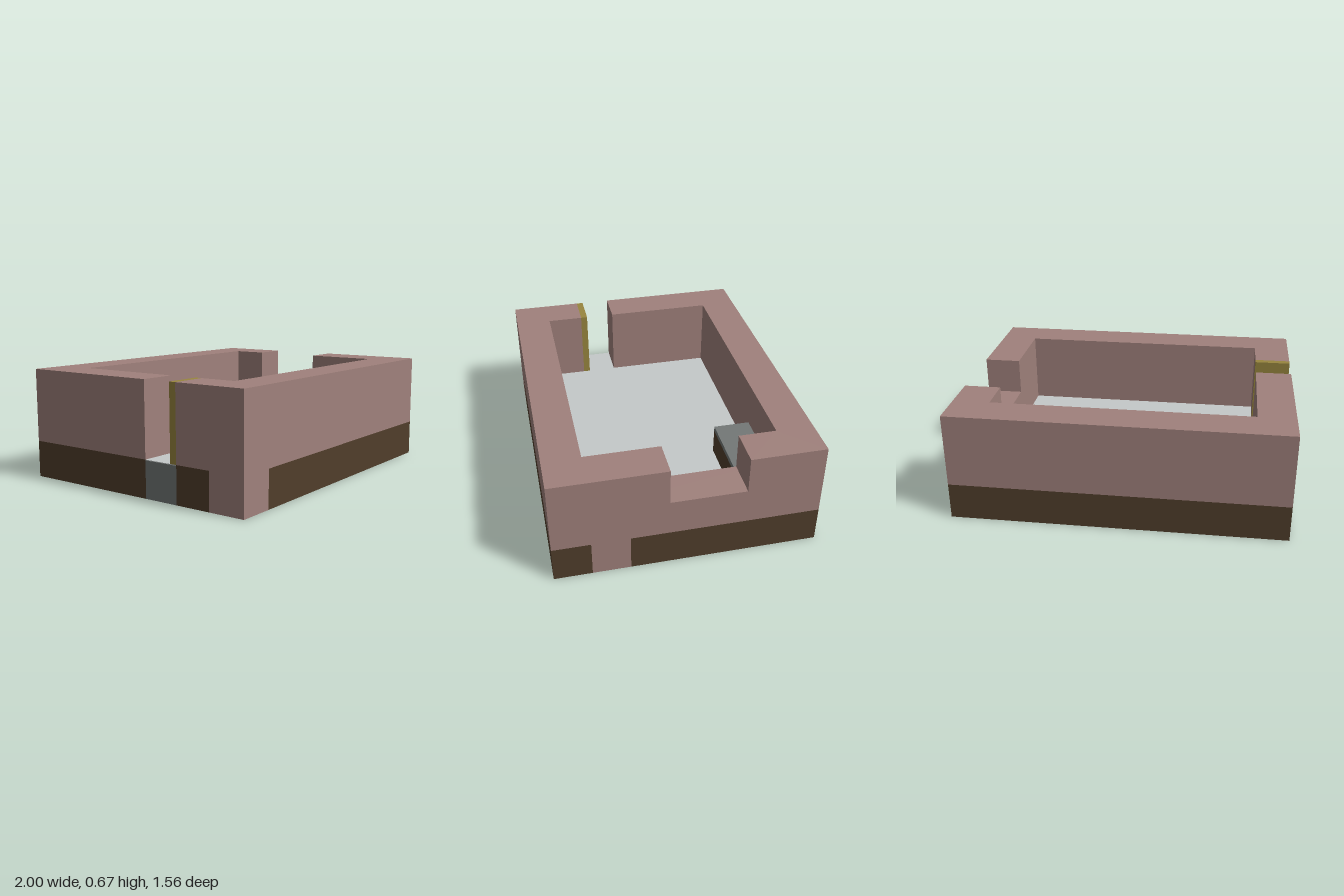
import * as THREE from 'three';

const U = 2 / 9; // one block: the building is 9 x 7 blocks in plan and 3 high

const mat = (name, color) => {
  const m = new THREE.MeshStandardMaterial({ color });
  m.name = name;
  return m;
};

export function createModel() {
  const brick = mat('dusty pink', 0xa0817c);
  const earth = mat('dark brown', 0x503e2b);
  const paleStone = mat('pale grey', 0xc5c9c9);
  const greyStone = mat('mid grey', 0x737877);
  const doorWood = mat('ochre', 0x98863f);

  const model = new THREE.Group();
  model.name = 'roofless house';

  // Raise a plan outline, in blocks from the back right corner, between two heights
  const raise = (name, material, outline, y0, y1) => {
    const shape = new THREE.Shape(
      outline.map(([u, v]) => new THREE.Vector2((u - 4.5) * U, (3.5 - v) * U))
    );
    const geo = new THREE.ExtrudeGeometry(shape, { depth: (y1 - y0) * U, bevelEnabled: false });
    geo.rotateX(-Math.PI / 2);
    geo.translate(0, y0 * U, 0);
    const mesh = new THREE.Mesh(geo, material);
    mesh.name = name;
    model.add(mesh);
  };
  const rect = (u0, v0, u1, v1) => [[u0, v0], [u1, v0], [u1, v1], [u0, v1]];

  // Bottom course: brown footing with two exposed wall blocks
  raise('backFooting', earth,
    [[0, 0], [9, 0], [9, 5], [8, 5], [8, 1], [1, 1], [1, 4], [0, 4]], 0, 1);
  raise('frontFooting', earth, rect(1, 6, 9, 7), 0, 1);
  raise('doorFooting', earth, rect(0, 5, 1, 6), 0, 1);
  raise('cornerBlock', brick, rect(0, 6, 1, 7), 0, 1);
  raise('sideBlock', brick, rect(8, 5, 9, 6), 0, 1);

  // Floor, running out through the doorway, with a pale top surface
  const floor = [[1, 1], [8, 1], [8, 6], [1, 6], [1, 5], [0, 5], [0, 4], [1, 4]];
  raise('floorSlab', greyStone, floor, 0, 0.98);
  raise('floorSurface', paleStone, floor, 0.98, 1);

  // Walls: middle course open at the door, top course also open at the window
  raise('middleWall', brick,
    [[0, 0], [9, 0], [9, 7], [0, 7], [0, 5], [1, 5], [1, 6], [8, 6], [8, 1], [1, 1], [1, 4], [0, 4]], 1, 2);
  raise('backTopWall', brick,
    [[0, 0], [9, 0], [9, 2], [8, 2], [8, 1], [1, 1], [1, 4], [0, 4]], 2, 3);
  raise('frontTopWall', brick,
    [[8, 4], [9, 4], [9, 7], [0, 7], [0, 5], [1, 5], [1, 6], [8, 6]], 2, 3);

  // Open door folded against the side of the doorway, with its latch
  raise('door', doorWood, rect(0, 4.81, 1, 5), 1, 3);
  raise('doorLatch', earth, rect(0.36, 4.79, 0.72, 4.81), 1.93, 2.12);

  // Bench in the back left corner
  raise('benchBody', earth, rect(6, 1, 8, 2), 1, 1.7);
  raise('benchTop', greyStone, rect(6, 1, 8, 2), 1.7, 1.84);

  return model;
}
